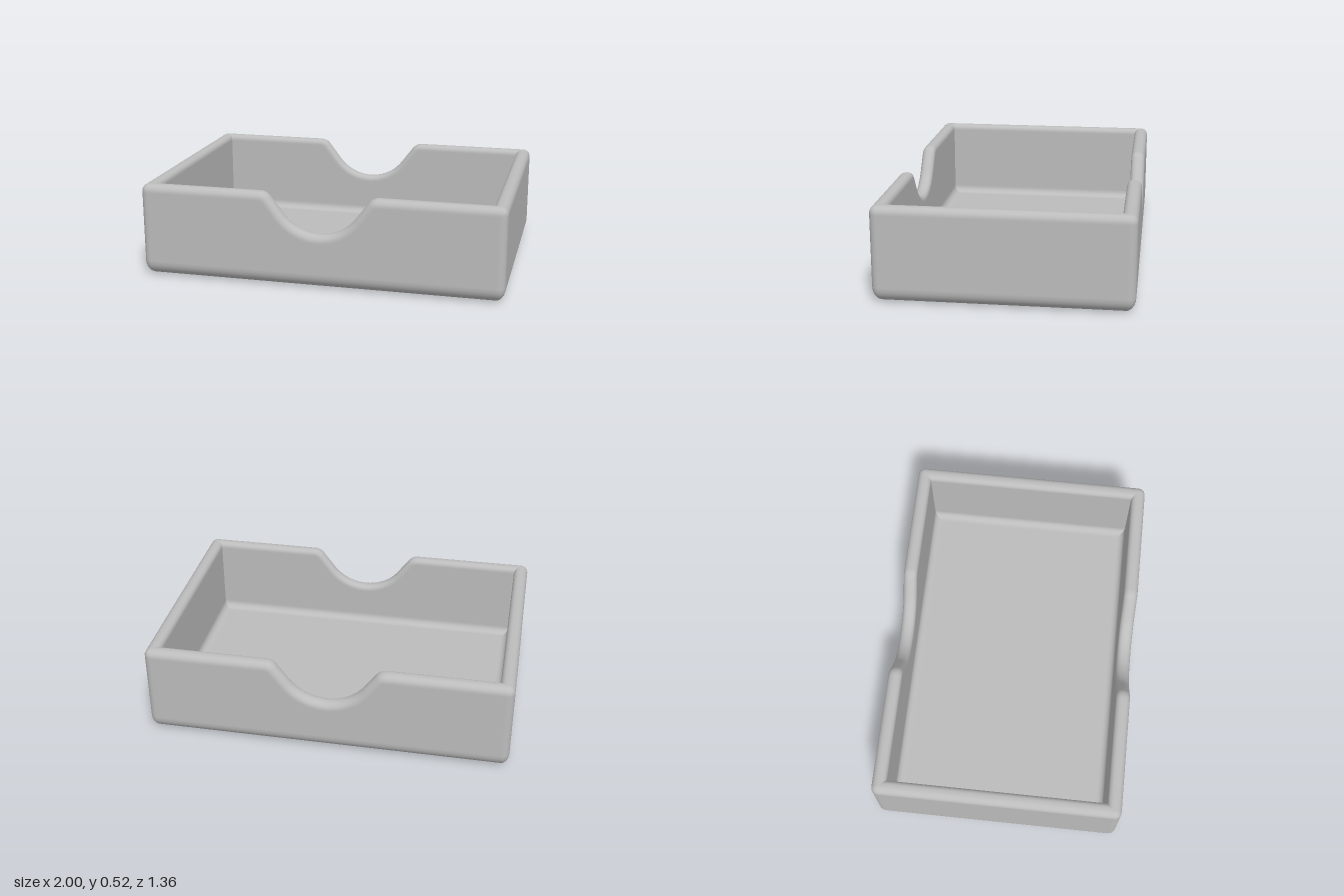
import * as THREE from 'three';
import { toCreasedNormals } from 'three/addons/utils/BufferGeometryUtils.js';

const HX = 1, HZ = 0.68, TOP = 0.52;        // half width, half depth, rim height
const WALL = 0.08, FLOOR = 0.06;            // wall and floor thickness
const CORNER = 0.04, BASE = 0.08;           // upright corner and outer base radii
const RIM_OUT = 0.04, RIM_IN = 0.03, COVE = 0.04; // rim roundings, inner floor fillet
const EPS = 0.006;                          // narrow band that keeps flat faces flat

// Thumb notch outline: points with normals, left to right
function notchPoints() {
  const R = 0.25, cy = 0.55, slope = THREE.MathUtils.degToRad(53), r = 0.07, half = [];
  for (let i = 0; i <= 10; i++) {           // bowl
    const a = slope * i / 10;
    half.push({ x: R * Math.sin(a), y: cy - R * Math.cos(a), nx: -Math.sin(a), ny: Math.cos(a) });
  }
  const end = half[10];
  const shoulderY = TOP - r * (1 - Math.cos(slope));
  const shoulderX = end.x + (shoulderY - end.y) / Math.tan(slope) + r * Math.sin(slope);
  for (let i = 6; i >= 0; i--) {            // shoulder
    const a = slope * i / 6;
    half.push({ x: shoulderX - r * Math.sin(a), y: TOP - r + r * Math.cos(a), nx: -Math.sin(a), ny: Math.cos(a) });
  }
  half.push({ x: shoulderX + EPS, y: TOP, nx: 0, ny: 1 });
  const mirrored = half.slice(1).reverse().map(p => ({ x: -p.x, y: p.y, nx: -p.nx, ny: p.ny }));
  return [...mirrored, ...half];
}

const notch = notchPoints();

// One loop round the tray: inset t from outside, drop d below the rim, or a fixed height y
function ring({ t, d, y }) {
  const pts = [], r = Math.max(0, CORNER - t), c = Math.max(CORNER, t);
  const wall = side => {
    const list = side > 0 ? notch : [...notch].reverse();
    for (const p of list)
      pts.push(new THREE.Vector3(p.x - p.nx * d, y ?? p.y - p.ny * d, side * (HZ - t)));
  };
  const corner = (sx, sz, from) => {
    const cx = sx * (HX - c), cz = sz * (HZ - c), h = y ?? TOP - d;
    const add = (a, slide) => pts.push(new THREE.Vector3(
      cx + r * Math.cos(a) + slide * Math.sin(a), h, cz + r * Math.sin(a) - slide * Math.cos(a)));
    add(from, -EPS);
    for (let i = 0; i <= 6; i++) add(from - Math.PI / 2 * i / 6, 0);
    add(from - Math.PI / 2, EPS);
  };
  wall(1);
  corner(1, 1, Math.PI / 2);
  corner(1, -1, 0);
  wall(-1);
  corner(-1, -1, -Math.PI / 2);
  corner(-1, 1, -Math.PI);
  return pts;
}

// Wall cross-section from the underside, over the rim, down to the floor
function crossSection() {
  const rows = [], n = 7;
  const arc = fn => {
    for (let i = 0; i <= n; i++) {
      const a = Math.PI / 2 * i / n;
      rows.push(fn(Math.sin(a), Math.cos(a)));
    }
  };
  rows.push({ t: BASE + EPS, d: RIM_OUT, y: 0 });
  arc((s, c) => ({ t: BASE * (1 - s), d: RIM_OUT, y: BASE * (1 - c) }));
  rows.push({ t: 0, d: RIM_OUT, y: BASE + EPS }, { t: 0, d: RIM_OUT + EPS });
  arc((s, c) => ({ t: RIM_OUT * (1 - c), d: RIM_OUT * (1 - s) }));
  arc((s, c) => ({ t: WALL - RIM_IN * (1 - s), d: RIM_IN * (1 - c) }));
  rows.push({ t: WALL, d: RIM_IN + EPS }, { t: WALL, d: RIM_IN, y: FLOOR + COVE + EPS });
  arc((s, c) => ({ t: WALL + COVE * (1 - c), d: RIM_IN, y: FLOOR + COVE * (1 - s) }));
  rows.push({ t: WALL + COVE + EPS, d: RIM_IN, y: FLOOR });
  return rows;
}

function trayGeometry() {
  const rings = crossSection().map(ring), pos = [];
  const scale = 1000; // enlarged while creasing so close vertices stay distinct
  const ab = new THREE.Vector3(), ac = new THREE.Vector3();
  const tri = (a, b, c) => {
    ab.subVectors(b, a);
    ac.subVectors(c, a);
    if (ab.cross(ac).length() < 1e-9) return; // collapsed at the sharp inner corners
    for (const p of [a, b, c]) pos.push(p.x * scale, p.y * scale, p.z * scale);
  };
  const count = rings[0].length, last = rings[rings.length - 1];
  const under = new THREE.Vector3(0, 0, 0), floor = new THREE.Vector3(0, FLOOR, 0);
  for (let i = 0; i < count; i++) {
    const k = (i + 1) % count;
    for (let j = 0; j < rings.length - 1; j++) {
      const lo = rings[j], hi = rings[j + 1];
      tri(lo[i], lo[k], hi[k]);
      tri(lo[i], hi[k], hi[i]);
    }
    tri(under, rings[0][k], rings[0][i]);
    tri(floor, last[i], last[k]);
  }
  const geo = new THREE.BufferGeometry();
  geo.setAttribute('position', new THREE.Float32BufferAttribute(pos, 3));
  const creased = toCreasedNormals(geo, THREE.MathUtils.degToRad(32));
  creased.scale(1 / scale, 1 / scale, 1 / scale);
  return creased;
}

export function createModel() {
  const group = new THREE.Group();
  group.name = 'cardTray';
  const grey = new THREE.MeshStandardMaterial({ color: 0xbcbcbc });
  grey.name = 'light grey';
  const tray = new THREE.Mesh(trayGeometry(), grey);
  tray.name = 'tray';
  group.add(tray);
  return group;
}
